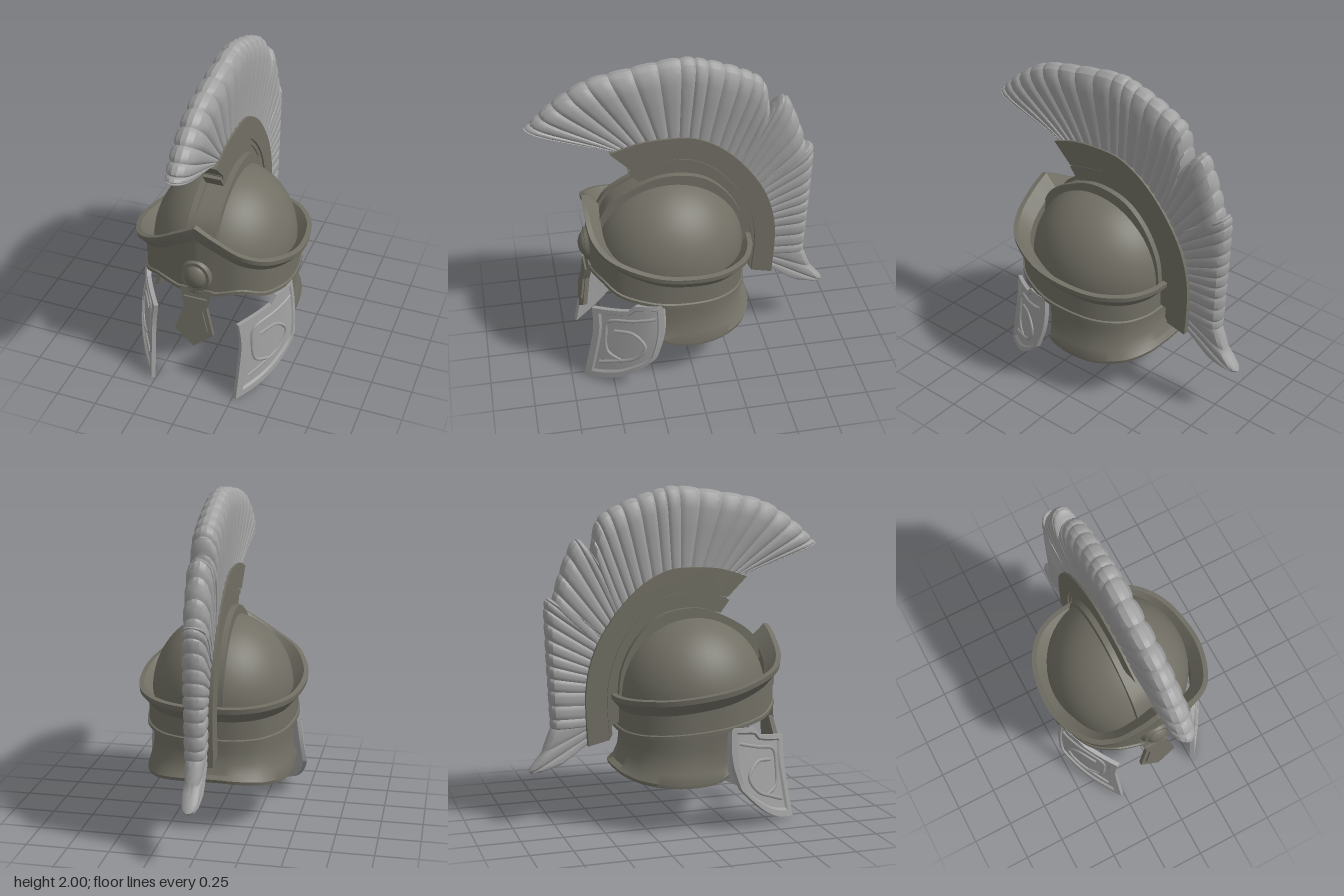
import * as THREE from 'three';
import { toCreasedNormals } from 'three/addons/utils/BufferGeometryUtils.js';

const bronze = new THREE.MeshStandardMaterial({ color: 0x716f64, side: THREE.DoubleSide });
bronze.name = 'dull bronze';
const silver = new THREE.MeshStandardMaterial({ color: 0xa0a0a0, side: THREE.DoubleSide });
silver.name = 'silver grey';

const V = (x, y, z) => new THREE.Vector3(x, y, z);

function add(group, name, geometry, material) {
  const mesh = new THREE.Mesh(geometry, material);
  mesh.name = name;
  group.add(mesh);
  return mesh;
}

// Skin over a list of closed cross-sections; open lofts get end caps.
function loft(rings, loop, crease = 0.6) {
  const n = rings[0].length, m = rings.length, index = [];
  for (let j = 0; j < (loop ? m : m - 1); j++) {
    for (let i = 0; i < n; i++) {
      const a = j * n + i, b = j * n + (i + 1) % n;
      const k = ((j + 1) % m) * n, c = k + i, d = k + (i + 1) % n;
      index.push(a, c, b, b, c, d);
    }
  }
  if (!loop) {
    for (const [o, flip] of [[0, false], [(m - 1) * n, true]]) {
      for (let i = 0; i < n / 2 - 1; i++) {
        const a = o + i, b = o + i + 1, c = o + n - 2 - i, d = o + n - 1 - i;
        index.push(...(flip ? [a, c, b, a, d, c] : [a, b, c, a, c, d]));
      }
    }
  }
  const g = new THREE.BufferGeometry();
  g.setAttribute('position', new THREE.Float32BufferAttribute(rings.flat().flatMap(p => [p.x, p.y, p.z]), 3));
  g.setIndex(index);
  return toCreasedNormals(g, crease);
}

const spline = pts => new THREE.SplineCurve(pts.map(p => new THREE.Vector2(...p)));

// Curved band drawn in (z, y) and extruded across x.
function arcBand(outer, inner, x0, x1) {
  const pts = [...spline(outer).getPoints(40), ...spline(inner).getPoints(40).reverse()];
  const shape = new THREE.Shape(pts.map(p => new THREE.Vector2(-p.x, p.y)));
  const g = new THREE.ExtrudeGeometry(shape, { depth: x1 - x0, bevelEnabled: false });
  g.translate(0, 0, x0).rotateY(Math.PI / 2);
  return toCreasedNormals(g, 0.5);
}

// Head outline from front centre to back centre: x, z, brim top, band bottom.
const OUTLINE = [
  [0, 0.61, 1.165, 0.69], [0.12, 0.61, 1.1, 0.69], [0.28, 0.58, 1.01, 0.715],
  [0.42, 0.47, 0.945, 0.66], [0.51, 0.21, 0.87, 0.615], [0.48, -0.1, 0.825, 0.585],
  [0.36, -0.3, 0.81, 0.57], [0.19, -0.39, 0.8, 0.565], [0, -0.41, 0.8, 0.565]];
const topCurve = new THREE.CatmullRomCurve3(OUTLINE.map(([x, z, y]) => V(x, y, z)), false, 'catmullrom');
const lowCurve = new THREE.CatmullRomCurve3(OUTLINE.map(([x, z, , y]) => V(x, y, z)), false, 'catmullrom');

// s runs 0 (front) to 1 (back) on the left, then to 2 (front) on the right.
function station(s) {
  const t = s <= 1 ? s : 2 - s, side = s <= 1 ? 1 : -1;
  const top = topCurve.getPoint(t), low = lowCurve.getPoint(t);
  const len = Math.hypot(top.x, top.z - 0.1);
  const at = (inset, y) => {
    const f = 1 - inset / len;
    return V(side * top.x * f, y, 0.1 + (top.z - 0.1) * f);
  };
  return { at, top: top.y, low: low.y, wall: 0.015 + 0.045 * Math.min(1, 3 * t) };
}
const around = (from, to, count, loop, section) =>
  Array.from({ length: loop ? count : count + 1 }, (_, j) => {
    const s = from + (to - from) * j / count;
    return section(station(s), s);
  });

// Fan of pleated hair between an inner and an outer curve in (z, y).
function tuft(inner, outer, strands, widthAt, seed) {
  const a = spline(inner), b = spline(outer), rings = [];
  const us = [0, 0.25, 0.5, 0.75, 0.88, 0.96, 1], bulge = [0.72, 0.8, 0.92, 1, 0.9, 0.62, 0.2];
  const n = strands * 6;
  for (let j = 0; j <= n; j++) {
    const t = j / n, strand = Math.floor(j / 6 + seed);
    const p = a.getPoint(t), q = b.getPoint(t);
    const groove = Math.pow(1 - Math.abs(Math.sin(Math.PI * j / 6)), 2);
    const jag = 1 - 0.02 * groove - 0.012 * (0.5 + 0.5 * Math.sin(strand * 12.9));
    const ring = us.map((u, i) => {
      const r = p.clone().lerp(q, u * jag);
      return V(widthAt(t) * bulge[i] * (1 - 0.16 * groove), r.y, r.x);
    });
    rings.push([...ring, ...ring.map(r => V(-r.x, r.y, r.z)).reverse()]);
  }
  return loft(rings, false, 0.5);
}

// Point on a cheek guard: u front to back, v top to bottom, lift outward.
const cheekFront = spline([[0.6, 0.525], [0.6, 0.38], [0.63, 0.21], [0.67, 0.01]]);
const cheekBack = spline([[0.2, 0.635], [0.195, 0.5], [0.21, 0.39], [0.25, 0.27]]);
const cheekX = (z, y) => 0.465 - 0.22 * Math.pow(Math.max(0, (z - 0.25) / 0.37), 1.3) + (0.5 - y) * 0.12;
function cheekPoint(u, v, lift) {
  const p = cheekFront.getPoint(v).lerp(cheekBack.getPoint(v), u);
  const y = p.y + Math.sin(Math.PI * u) * (0.025 * (1 - v) * (u > 0.5 ? 1 : -0.4) - 0.055 * v * v);
  return V(cheekX(p.x, y) + lift * 0.8, y, p.x + lift * 0.5);
}

function cheekGuard() {
  const g = new THREE.Group();
  g.name = 'cheekGuard';
  const steps = [0, 0.085, 0.11, 0.2, 0.3, 0.4, 0.5, 0.6, 0.7, 0.8, 0.89, 0.915, 1];
  const lift = (u, v) => (Math.min(u, 1 - u, v, 1 - v) < 0.1 ? 0.012 : 0);
  const rings = steps.map(v => [
    ...steps.map(u => cheekPoint(u, v, lift(u, v))),
    ...steps.map(u => cheekPoint(u, v, -0.015)).reverse()]);
  add(g, 'cheekPlate', loft(rings, false, 0.5), silver);
  // Raised scroll and leaf lines following the plate.
  const lines = {
    cheekScroll: [[0.485, 0.4], [0.38, 0.41], [0.315, 0.33], [0.38, 0.235], [0.49, 0.18], [0.58, 0.14]],
    cheekLeaf: [[0.25, 0.54], [0.38, 0.5], [0.51, 0.46], [0.535, 0.36], [0.53, 0.24], [0.46, 0.2]]
  };
  for (const [name, pts] of Object.entries(lines)) {
    const path = new THREE.CatmullRomCurve3(
      spline(pts).getPoints(30).map(p => V(cheekX(p.x, p.y), p.y, p.x)));
    add(g, name, new THREE.TubeGeometry(path, 40, 0.011, 6), silver);
  }
  return g;
}

export function createModel() {
  const model = new THREE.Group();
  model.name = 'crestedHelmet';

  // Skull dome
  const dome = new THREE.SphereGeometry(1, 48, 20, 0, Math.PI * 2, 0, Math.PI * 0.52);
  dome.scale(0.43, 0.46, 0.46).translate(0, 0.78, 0.1);
  add(model, 'dome', dome, bronze);

  // Flared brim and brow band
  add(model, 'brim', loft(around(0, 2, 96, true, ({ at, top, wall }) => [
    at(wall, top - 0.1), at(0.004, top - 0.035), at(0, top - 0.005), at(0.03, top),
    at(0.1, top - 0.075), at(0.1, top - 0.11)]), true, 0.5), bronze);
  add(model, 'browBand', loft(around(0, 2, 96, true, ({ at, top, low, wall }) => [
    at(wall, top - 0.08), at(wall, low + 0.025), at(wall - 0.01, low + 0.02), at(wall - 0.01, low),
    at(wall + 0.035, low), at(wall + 0.035, top - 0.08)]), true, 0.5), bronze);

  // Neck guard with flared rim
  add(model, 'neckGuard', loft(around(0.5, 1.5, 60, false, ({ at }, s) => {
    const e = Math.sin(Math.PI * (s - 0.5)), f = 0.3 + 0.7 * e;
    const yb = 0.285 + 0.05 * e * e * e + 0.05 * Math.pow(1 - e, 8);
    return [at(0.08, 0.64), at(0.09, 0.5), at(0.09 - 0.01 * f, 0.43), at(0.09 - 0.04 * f, 0.37),
      at(0.09 - 0.075 * f, yb + 0.02), at(0.09 - 0.07 * f, yb), at(0.105 - 0.055 * f, yb),
      at(0.11 - 0.03 * f, 0.37), at(0.11 - 0.005 * f, 0.43), at(0.11, 0.5), at(0.1, 0.64)];
  }), false), bronze);

  // Nose guard, leaning forward with a raised centre
  const noseShape = scale => new THREE.Shape([[-0.1, 0.72], [-0.085, 0.655], [-0.07, 0.6], [-0.12, 0.435],
    [0, 0.34], [0.12, 0.435], [0.07, 0.6], [0.085, 0.655], [0.1, 0.72]]
    .map(([x, y]) => new THREE.Vector2(x * scale, 0.53 + (y - 0.53) * scale)));
  for (const [name, scale, z, depth] of [['noseGuard', 1, 0.575, 0.025], ['noseGuardRidge', 0.72, 0.6, 0.012]]) {
    const g = new THREE.ExtrudeGeometry(noseShape(scale), { depth, bevelEnabled: false });
    const p = g.attributes.position;
    for (let i = 0; i < p.count; i++) p.setZ(i, p.getZ(i) + z + (0.7 - p.getY(i)) * 0.17);
    g.computeVertexNormals();
    add(model, name, g, bronze);
  }

  // Oval brow boss
  const boss = new THREE.Group();
  boss.name = 'browBoss';
  boss.position.set(0, 0.815, 0.595);
  boss.scale.set(0.9, 1.05, 1);
  const ring = new THREE.CylinderGeometry(0.095, 0.108, 0.03, 32);
  add(boss, 'bossRing', ring.rotateX(Math.PI / 2), bronze);
  const stud = new THREE.SphereGeometry(0.078, 28, 12, 0, Math.PI * 2, 0, Math.PI / 2);
  add(boss, 'bossStud', stud.rotateX(Math.PI / 2).scale(1, 1, 0.65), bronze);
  model.add(boss);

  // Rails over the dome with a lower centre strip
  const rail = [[0.54, 0.98], [0.46, 1.13], [0.27, 1.245], [0.1, 1.29], [-0.1, 1.255], [-0.25, 1.13], [-0.345, 0.95], [-0.37, 0.75]];
  const shrink = k => rail.map(([z, y]) => [0.1 + (z - 0.1) * k, 0.75 + (y - 0.75) * k]);
  for (const x of [-0.09, 0.055]) add(model, 'domeRail', arcBand(rail, shrink(0.88), x, x + 0.035), bronze);
  add(model, 'domeStrip', arcBand(shrink(0.96), shrink(0.85), -0.056, 0.056), bronze);

  // Crest holder: lower web, main plate and side trims
  const holderOuter = [[0.44, 1.465], [0.28, 1.515], [0.1, 1.53], [-0.06, 1.515], [-0.22, 1.43], [-0.37, 1.28], [-0.5, 1.07], [-0.56, 0.82], [-0.55, 0.49]];
  const holderInner = [[0.32, 1.345], [0.2, 1.37], [0.06, 1.39], [-0.06, 1.37], [-0.2, 1.28], [-0.34, 1.11], [-0.415, 0.92], [-0.435, 0.74], [-0.42, 0.52]];
  const webInner = [[0.28, 1.25], [0.2, 1.265], [0.08, 1.27], [-0.06, 1.24], [-0.18, 1.15], [-0.27, 1.03], [-0.33, 0.9], [-0.355, 0.78], [-0.36, 0.62]];
  const blend = (a, b, k) => a.map((p, i) => p.map((v, c) => v + (b[i][c] - v) * k));
  const webOuter = blend(holderInner, webInner, -0.1);
  webOuter[0] = [0.335, 1.325];
  webOuter[8] = [-0.43, 0.6];
  add(model, 'crestWeb', arcBand(webOuter, webInner, -0.055, 0.055), bronze);
  add(model, 'crestHolder', arcBand(holderOuter, holderInner, -0.07, 0.07), bronze);
  add(model, 'crestWebTrim', arcBand(blend(holderInner, webInner, 0.05), blend(holderInner, webInner, 0.3), -0.063, 0.063), bronze);

  // Plume in four overlapping tufts
  const plume = new THREE.Group();
  plume.name = 'plume';
  add(plume, 'frontTuft', tuft(
    [[0.42, 1.46], [0.41, 1.465], [0.4, 1.47], [0.36, 1.48], [0.28, 1.5], [0.16, 1.515], [0.03, 1.515], [-0.08, 1.49], [-0.2, 1.42], [-0.29, 1.35], [-0.36, 1.27]],
    [[0.66, 1.6], [0.9, 1.64], [0.89, 1.68], [0.76, 1.8], [0.56, 1.92], [0.3, 1.975], [0.02, 2.01], [-0.14, 1.98], [-0.33, 1.91], [-0.47, 1.82], [-0.51, 1.64]],
    20, t => 0.045 + 0.035 * Math.min(1, t * 4), 0), silver);
  add(plume, 'upperBackTuft', tuft(
    [[-0.32, 1.31], [-0.37, 1.25], [-0.42, 1.17], [-0.47, 1.08]],
    [[-0.5, 1.62], [-0.605, 1.715], [-0.7, 1.52], [-0.75, 1.34]],
    6, () => 0.074, 3), silver);
  add(plume, 'lowerBackTuft', tuft(
    [[-0.43, 1.15], [-0.46, 1.11], [-0.51, 0.97], [-0.54, 0.82], [-0.54, 0.6]],
    [[-0.7, 1.34], [-0.785, 1.36], [-0.785, 1.1], [-0.775, 0.85], [-0.765, 0.6]],
    13, t => 0.072 - 0.012 * t, 7), silver);
  add(plume, 'tailTuft', tuft(
    [[-0.52, 0.63], [-0.53, 0.59], [-0.54, 0.54], [-0.54, 0.5]],
    [[-0.765, 0.61], [-0.825, 0.46], [-0.905, 0.335], [-0.74, 0.365]],
    3, () => 0.052, 2), silver);
  model.add(plume);

  // Cheek guards, mirrored
  for (const side of [1, -1]) {
    const cheek = cheekGuard();
    cheek.name = side > 0 ? 'leftCheekGuard' : 'rightCheekGuard';
    cheek.scale.x = side;
    model.add(cheek);
  }
  return model;
}
